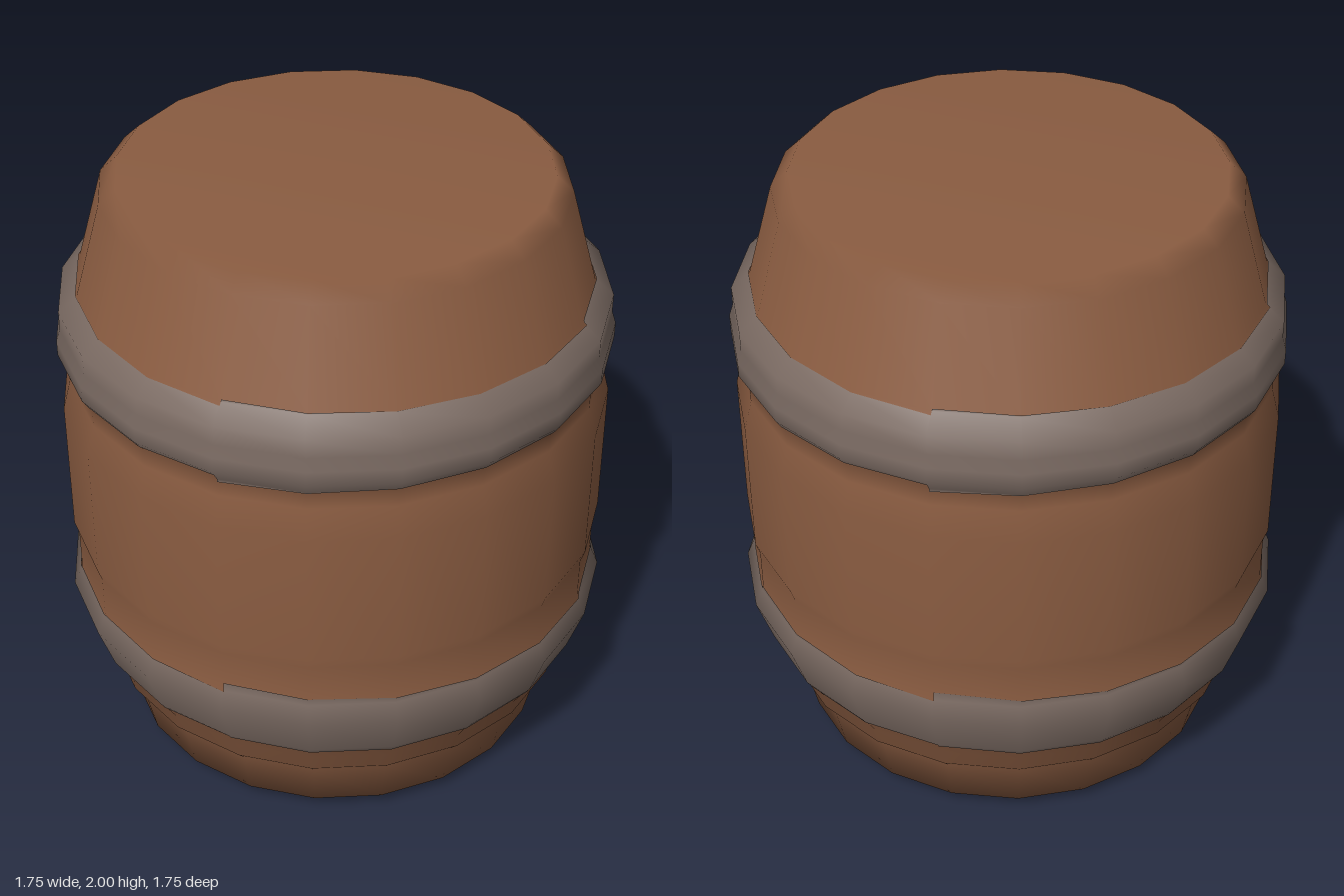
import * as THREE from 'three';

const SIDES = 20;
const START = -Math.PI / 4;
const CORNER = 1 / Math.cos(Math.PI / SIDES); // flat half-width to corner radius

// Barrel outline from the bottom centre to the top centre: [half-width, height]
const OUTLINE = [
  [0, 0], [0.42, 0], [0.69, 0.055], [0.727, 0.22], [0.762, 0.26], [0.765, 0.31],
  [0.82, 0.4], [0.87, 0.55], [0.845, 0.61], [0.845, 0.76], [0.858, 0.8],
  [0.858, 1.25], [0.832, 1.35], [0.832, 1.41], [0.858, 1.45], [0.858, 1.5],
  [0.845, 1.54], [0.845, 1.6], [0.79, 1.65], [0.707, 1.95], [0.655, 2], [0, 2],
].map(([w, y]) => new THREE.Vector2(w * CORNER, y));

// Radius of the outline at a height
function radiusAt(y) {
  const i = Math.max(2, OUTLINE.findIndex((p) => p.y >= y));
  const a = OUTLINE[i - 1], b = OUTLINE[i];
  return THREE.MathUtils.mapLinear(y, a.y, b.y, a.x, b.x);
}

// Quarter of a hoop whose uneven edges are given by low(t) and high(t), t = 0..1 around the quarter
function hoopQuarter(low, high, from, to, start) {
  const skin = 0.004;
  const ends = [from, to].map((y) => new THREE.Vector2(radiusAt(y), y));
  const inner = OUTLINE.filter((p) => p.y > from && p.y < to);
  const profile = [ends[0], ...inner, ends[1]];
  const geo = new THREE.LatheGeometry(profile, SIDES / 4, start, Math.PI / 2);
  const pos = geo.attributes.position;
  for (let i = 0; i < pos.count; i++) {
    const step = Math.floor(i / profile.length);
    const t = step / (SIDES / 4);
    const angle = start + t * Math.PI / 2;
    const y = THREE.MathUtils.clamp(pos.getY(i), low(t), high(t));
    const r = radiusAt(y) + skin;
    pos.setXYZ(i, r * Math.sin(angle), y, r * Math.cos(angle));
  }
  return geo;
}

export function createModel() {
  const wood = new THREE.MeshStandardMaterial({ name: 'brown wood', color: 0x8a5c41 });
  const iron = new THREE.MeshStandardMaterial({ name: 'grey iron', color: 0x7a6a62, side: THREE.DoubleSide });
  const model = new THREE.Group();
  model.name = 'barrel';

  // Wooden body with closed ends
  const body = new THREE.Mesh(new THREE.LatheGeometry(OUTLINE, SIDES, START), wood);
  body.name = 'body';
  model.add(body);

  // Iron hoops, each made of four matching quarters
  const hoops = [
    { name: 'upperHoop', from: 1.395, to: 1.66, low: (t) => 1.4 + 0.035 * t, high: (t) => 1.657 - 0.015 * t },
    { name: 'lowerHoop', from: 0.365, to: 0.645, low: (t) => 0.385 + 0.06 * (t - 0.4) ** 2 - 0.012, high: (t) => 0.642 - 0.035 * t },
  ];
  for (const h of hoops) {
    const hoop = new THREE.Group();
    hoop.name = h.name;
    for (let q = 0; q < 4; q++) {
      const geo = hoopQuarter(h.low, h.high, h.from, h.to, START + q * Math.PI / 2);
      const part = new THREE.Mesh(geo, iron);
      part.name = h.name + 'Quarter';
      hoop.add(part);
    }
    model.add(hoop);
  }
  return model;
}
